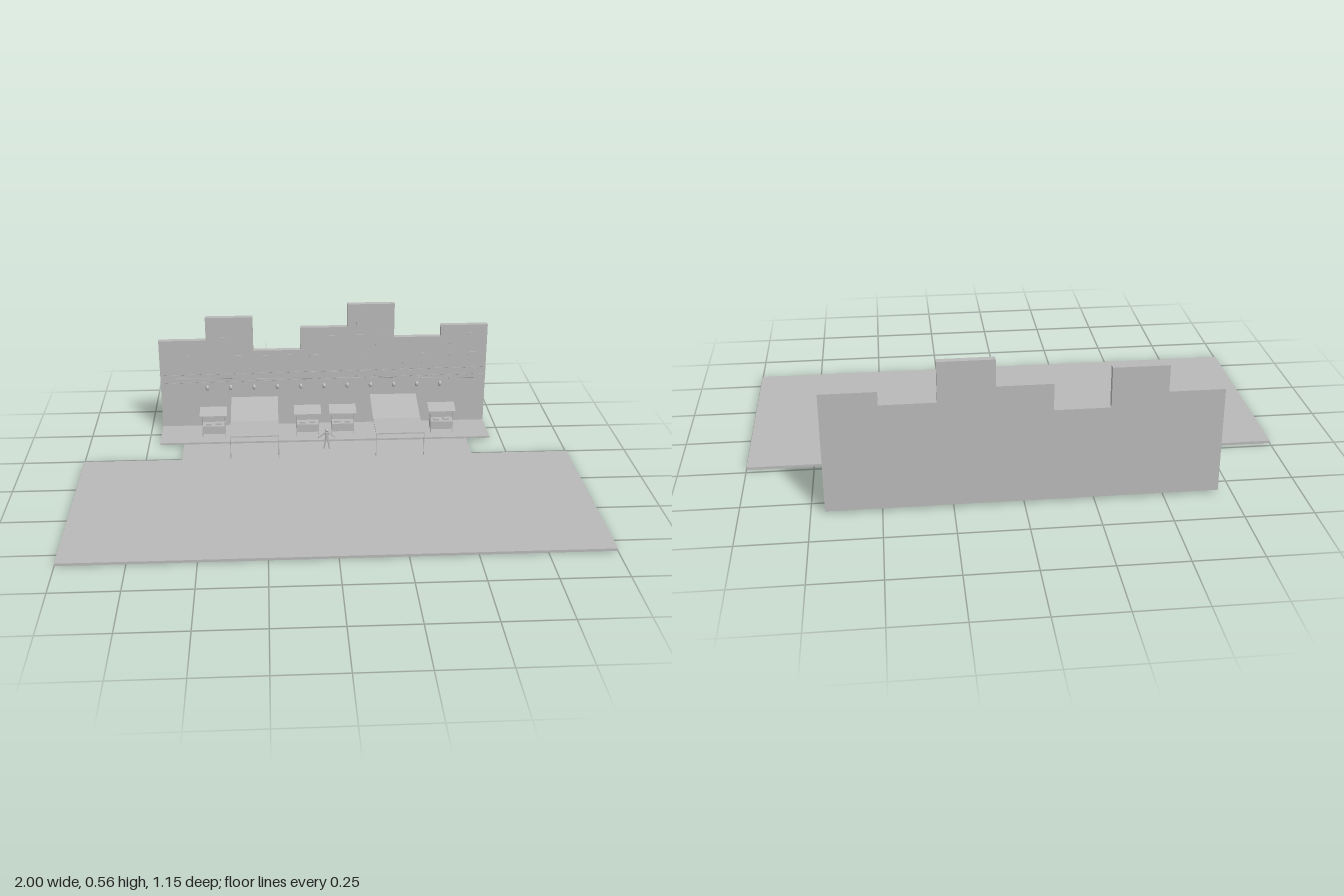
import * as THREE from 'three';

const stone = new THREE.MeshStandardMaterial({ color: 0xb8b8b8 });
stone.name = 'plain grey';
const sheet = new THREE.MeshStandardMaterial({ color: 0xb8b8b8, side: THREE.DoubleSide });
sheet.name = 'plain grey';

function add(parent, name, geometry, material = stone) {
  const mesh = new THREE.Mesh(geometry, material);
  mesh.name = name;
  parent.add(mesh);
  return mesh;
}

// Box given by its minimum and maximum along each axis
function block(parent, name, x0, x1, y0, y1, z0, z1) {
  const mesh = add(parent, name, new THREE.BoxGeometry(x1 - x0, y1 - y0, z1 - z0));
  mesh.position.set((x0 + x1) / 2, (y0 + y1) / 2, (z0 + z1) / 2);
  return mesh;
}

// Thin round bar between two points
function bar(parent, name, a, b, radius, sides = 6) {
  const from = new THREE.Vector3(...a), to = new THREE.Vector3(...b);
  const dir = to.clone().sub(from);
  const mesh = add(parent, name, new THREE.CylinderGeometry(radius, radius, dir.length(), sides));
  mesh.position.copy(from).add(to).multiplyScalar(0.5);
  mesh.quaternion.setFromUnitVectors(new THREE.Vector3(0, 1, 0), dir.normalize());
  return mesh;
}

// Flat sheet that slopes from a front edge to a back edge
function slope(parent, name, width, y0, z0, y1, z1) {
  const mesh = add(parent, name, new THREE.PlaneGeometry(width, Math.hypot(y1 - y0, z1 - z0)), sheet);
  mesh.position.set(0, (y0 + y1) / 2, (z0 + z1) / 2);
  mesh.rotation.x = -Math.atan2(z0 - z1, y1 - y0);
  return mesh;
}

function makeStall(x) {
  const stall = new THREE.Group();
  stall.name = 'foodStall';
  stall.position.x = x;
  block(stall, 'counter', -0.048, 0.048, 0.034, 0.069, -0.472, -0.423);
  for (const px of [-0.047, 0.047]) {
    bar(stall, 'frontPost', [px, 0.017, -0.425], [px, 0.114, -0.425], 0.0015);
    bar(stall, 'backPost', [px, 0.017, -0.471], [px, 0.131, -0.471], 0.0015);
  }
  for (const px of [-0.022, 0.02]) block(stall, 'dish', px - 0.012, px + 0.012, 0.069, 0.076, -0.456, -0.436);
  slope(stall, 'roof', 0.115, 0.119, -0.418, 0.134, -0.485);
  // Scalloped fringe hanging from the roof edge
  const fringe = new THREE.Shape();
  fringe.moveTo(-0.0575, 0.119);
  for (let i = 0; i < 8; i++) {
    const c = -0.0575 + (i + 0.5) * 0.115 / 8;
    fringe.lineTo(c - 0.0068, 0.114);
    fringe.lineTo(c, 0.109);
    fringe.lineTo(c + 0.0068, 0.114);
  }
  fringe.lineTo(0.0575, 0.119);
  add(stall, 'fringe', new THREE.ShapeGeometry(fringe), sheet).position.z = -0.418;
  return stall;
}

function makeCanopy(x) {
  const canopy = new THREE.Group();
  canopy.name = 'canopy';
  canopy.position.x = x;
  block(canopy, 'flatRoof', -0.1, 0.1, 0.107, 0.112, -0.375, -0.226);
  slope(canopy, 'slopingRoof', 0.2, 0.11, -0.375, 0.149, -0.551);
  for (const px of [-0.099, 0.099]) bar(canopy, 'canopyPost', [px, 0.01, -0.228], [px, 0.108, -0.228], 0.0015);
  return canopy;
}

function makePerson() {
  const person = new THREE.Group();
  person.name = 'person';
  person.position.z = -0.3;
  add(person, 'head', new THREE.SphereGeometry(0.0075, 12, 8)).position.y = 0.096;
  const torso = add(person, 'torso', new THREE.CylinderGeometry(0.009, 0.007, 0.035, 8));
  torso.position.y = 0.07;
  torso.scale.z = 0.5;
  for (const s of [-1, 1]) {
    bar(person, 'arm', [s * 0.008, 0.084, 0], [s * 0.036, 0.064, 0], 0.0022);
    bar(person, 'leg', [s * 0.004, 0.055, 0], [s * 0.012, 0.011, 0], 0.003);
  }
  return person;
}

export function createModel() {
  const model = new THREE.Group();
  model.name = 'marketStreet';

  // Ground slab with its narrower tongue, and the raised pavement
  const plan = new THREE.Shape();
  [[-1, -0.575], [1, -0.575], [1, 0.23], [0.6, 0.23], [0.6, 0.375], [-0.6, 0.375], [-0.6, 0.23], [-1, 0.23]]
    .forEach(([x, y], i) => (i ? plan.lineTo(x, y) : plan.moveTo(x, y)));
  const ground = new THREE.ExtrudeGeometry(plan, { depth: 0.01, bevelEnabled: false });
  ground.rotateX(-Math.PI / 2);
  add(model, 'ground', ground);
  block(model, 'pavement', -0.7, 0.7, 0.01, 0.018, -0.575, -0.375);

  // Row of house fronts, each with thin window plates
  const heights = [0.411, 0.511, 0.361, 0.461, 0.561, 0.411, 0.461];
  heights.forEach((top, i) => {
    const x = -0.7 + i * 0.2;
    block(model, 'houseFront', x, x + 0.2, 0.011, top, -0.575, -0.55);
    for (const y of [0.235, 0.315, 0.4, 0.48]) {
      if (y + 0.04 > top) continue;
      for (const wx of [x + 0.06, x + 0.14]) block(model, 'window', wx - 0.02, wx + 0.02, y - 0.025, y + 0.025, -0.551, -0.5485);
    }
  });

  // Overhead wires and hanging lanterns
  for (const [y0, y1, z] of [[0.27, 0.283, -0.513], [0.251, 0.23, -0.523], [0.224, 0.243, -0.535]])
    bar(model, 'wire', [-0.7, y0, z], [0.7, y1, z], 0.0008, 4);
  const lantern = new THREE.SphereGeometry(0.008, 12, 8).scale(1, 1.5, 1);
  for (let i = -5; i <= 5; i++) add(model, 'lantern', lantern).position.set(i * 0.1, 0.205, -0.524);

  for (const x of [-0.475, -0.075, 0.075, 0.5]) model.add(makeStall(x));
  for (const x of [-0.3, 0.3]) model.add(makeCanopy(x));
  model.add(makePerson());
  return model;
}
